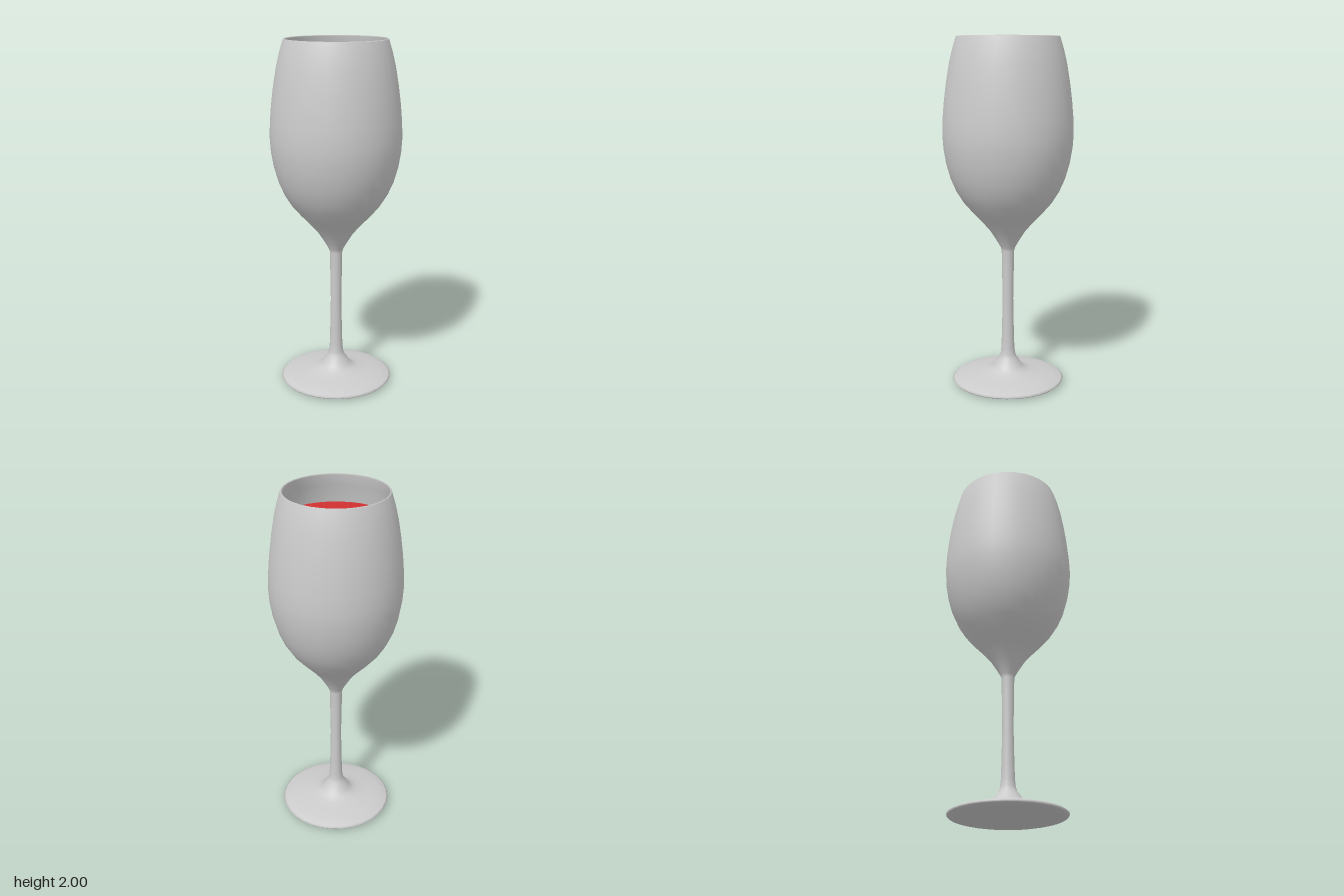
import * as THREE from 'three';

const SEGMENTS = 32;

// Outside of the foot and stem, as [radius, height]
const footAndStem = [
  [0, 0], [0.2, 0], [0.29, 0.005], [0.318, 0.012], [0.325, 0.02], [0.315, 0.028],
  [0.27, 0.042], [0.2, 0.054], [0.14, 0.064], [0.105, 0.077], [0.082, 0.096],
  [0.068, 0.122], [0.05, 0.145], [0.042, 0.17], [0.038, 0.21], [0.035, 0.3],
  [0.031, 0.5], [0.034, 0.68], [0.036, 0.79],
];

// Outside of the bowl, from the stem up to the rim
const bowlOutside = [
  [0.042, 0.81], [0.065, 0.85], [0.1, 0.905], [0.145, 0.958], [0.2, 1.015],
  [0.252, 1.075], [0.293, 1.14], [0.326, 1.215], [0.35, 1.3], [0.364, 1.385],
  [0.369, 1.46], [0.366, 1.55], [0.357, 1.65], [0.344, 1.75], [0.327, 1.85],
  [0.308, 1.93], [0.288, 1.995],
];

const WALL = 0.013;
const WINE_LEVEL = 1.83;

const vectors = (points) => points.map(([r, y]) => new THREE.Vector2(r, y));

// Bowl contour moved inward, with a rounded bottom
function innerContour(inset) {
  return [[0, 0.862 + inset * 0.5], ...bowlOutside.slice(2).map(([r, y]) =>
    [r - inset * (y < 1.1 ? 1.6 : 1), y])];
}

// Radius of a contour at a given height
function radiusAt(contour, height) {
  const i = contour.findIndex(([, y]) => y >= height);
  const [r0, y0] = contour[i - 1];
  const [r1, y1] = contour[i];
  return r0 + (r1 - r0) * (height - y0) / (y1 - y0);
}

export function createModel() {
  const model = new THREE.Group();
  model.name = 'wineGlass';

  // Glass: one turned shell running up the outside and down the inside
  const inside = innerContour(WALL).reverse();
  const shell = [...footAndStem, ...bowlOutside, [0.284, 2], ...inside];
  const glass = new THREE.Mesh(
    new THREE.LatheGeometry(vectors(shell), SEGMENTS),
    new THREE.MeshStandardMaterial({ color: 0xcccccc })
  );
  glass.name = 'glass';
  model.add(glass);

  // Wine: a body just inside the wall and a flat surface on top
  const red = new THREE.MeshStandardMaterial({ color: 0xd03030 });
  const contour = innerContour(WALL + 0.002);
  const wineRadius = radiusAt(contour, WINE_LEVEL);
  const filled = [...contour.filter(([, y]) => y < WINE_LEVEL), [wineRadius, WINE_LEVEL]];
  const wineBody = new THREE.Mesh(new THREE.LatheGeometry(vectors(filled), SEGMENTS), red);
  wineBody.name = 'wineBody';
  const wineSurface = new THREE.Mesh(
    new THREE.CircleGeometry(wineRadius, SEGMENTS).rotateX(-Math.PI / 2), red);
  wineSurface.name = 'wineSurface';
  wineSurface.position.y = WINE_LEVEL;

  const wine = new THREE.Group();
  wine.name = 'wine';
  wine.add(wineBody, wineSurface);
  model.add(wine);

  return model;
}
